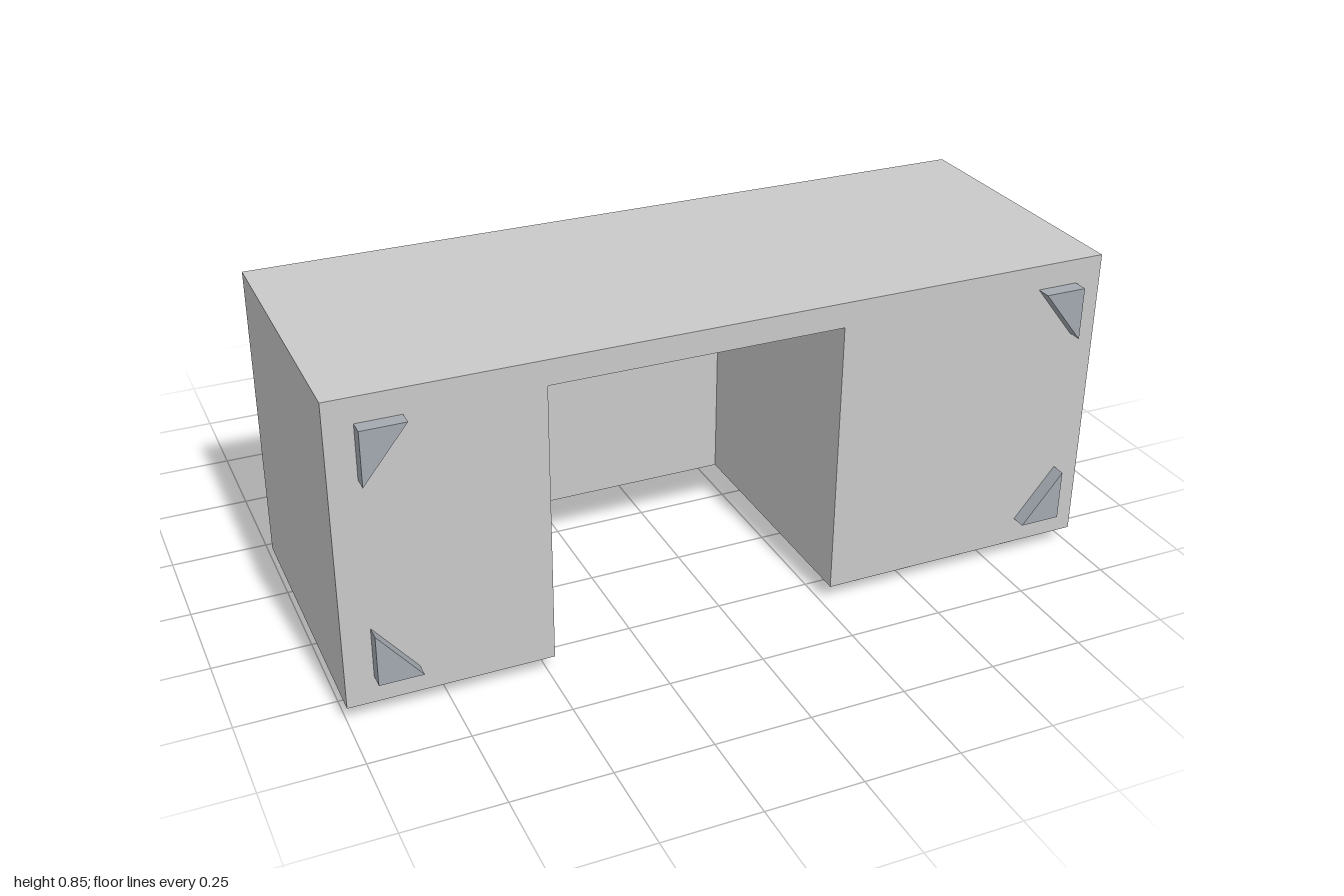
import * as THREE from 'three';

const mat = (name, color) => {
  const m = new THREE.MeshStandardMaterial({ color });
  m.name = name;
  return m;
};

export function createModel() {
  const root = new THREE.Group();
  root.name = 'desk';
  const lightGrey = mat('lightGrey', 0xc9c9c9);
  const blueGrey = mat('blueGrey', 0xa3a9b0);
  const handleGrey = mat('handleGrey', 0xc3c6c6);
  const dark = mat('darkSlate', 0x353441);

  const add = (name, geometry, material) => {
    const mesh = new THREE.Mesh(geometry, material);
    mesh.name = name;
    root.add(mesh);
    return mesh;
  };
  // Box given by its limits on each axis
  const box = (name, material, [x0, x1], [y0, y1], [z0, z1]) =>
    add(name, new THREE.BoxGeometry(x1 - x0, y1 - y0, z1 - z0), material)
      .position.set((x0 + x1) / 2, (y0 + y1) / 2, (z0 + z1) / 2);
  // Outline in x and y, extruded from z0 to z1
  const prism = (name, material, points, z0, z1) => {
    const shape = new THREE.Shape(points.map(([x, y]) => new THREE.Vector2(x, y)));
    add(name, new THREE.ExtrudeGeometry(shape, { depth: z1 - z0, bevelEnabled: false }), material)
      .position.z = z0;
  };

  // Body with the knee space, closed by a back panel
  const back = -0.155, front = 0.595, bottom = 0.045, top = 0.845;
  prism('body', lightGrey, [
    [-1, bottom], [-0.485, bottom], [-0.485, 0.78], [0.27, 0.78],
    [0.27, bottom], [1, bottom], [1, top], [-1, top],
  ], -0.09, front);
  box('backPanel', lightGrey, [-1, 1], [bottom, top], [back, -0.09]);

  // Triangular corner feet
  for (const side of [-1, 1]) {
    for (const [y, tip] of [[0.78, 0.64], [0.115, 0.25]]) {
      prism('cornerFoot', blueGrey,
        [[side * 0.93, y], [side * 0.93, tip], [side * 0.82, y]], front, 0.633);
    }
  }

  // Drawers and their handles
  const drawers = [
    [[0.255, 0.56], [0.268, 0.302]],
    [[0.068, 0.187], [0.08, 0.113]],
    [[-0.122, 0], [-0.107, -0.074]],
  ];
  for (const [drawerZ, handleZ] of drawers) {
    box('drawer', blueGrey, [0.36, 0.965], [0.018, bottom], drawerZ);
    box('drawerHandle', handleGrey, [0.58, 0.73], [0, 0.018], handleZ);
  }

  // Dark pads on the back
  box('deskPad', dark, [-0.507, 0.295], [0.083, 0.69], [-0.163, back]);
  box('keyboard', dark, [0.45, 0.88], [0.235, 0.358], [-0.17, back]);

  // Monitor on its stand
  box('monitorBase', dark, [0.38, 0.95], [0.567, 0.724], [-0.172, back]);
  box('monitorStand', dark, [0.575, 0.755], [0.65, 0.678], [-0.428, -0.172]);
  box('monitorBracket', dark, [0.575, 0.755], [0.62, 0.65], [-0.428, -0.385]);
  box('monitorScreen', dark, [0.355, 0.955], [0.598, 0.62], [-0.634, -0.25]);

  return root;
}
